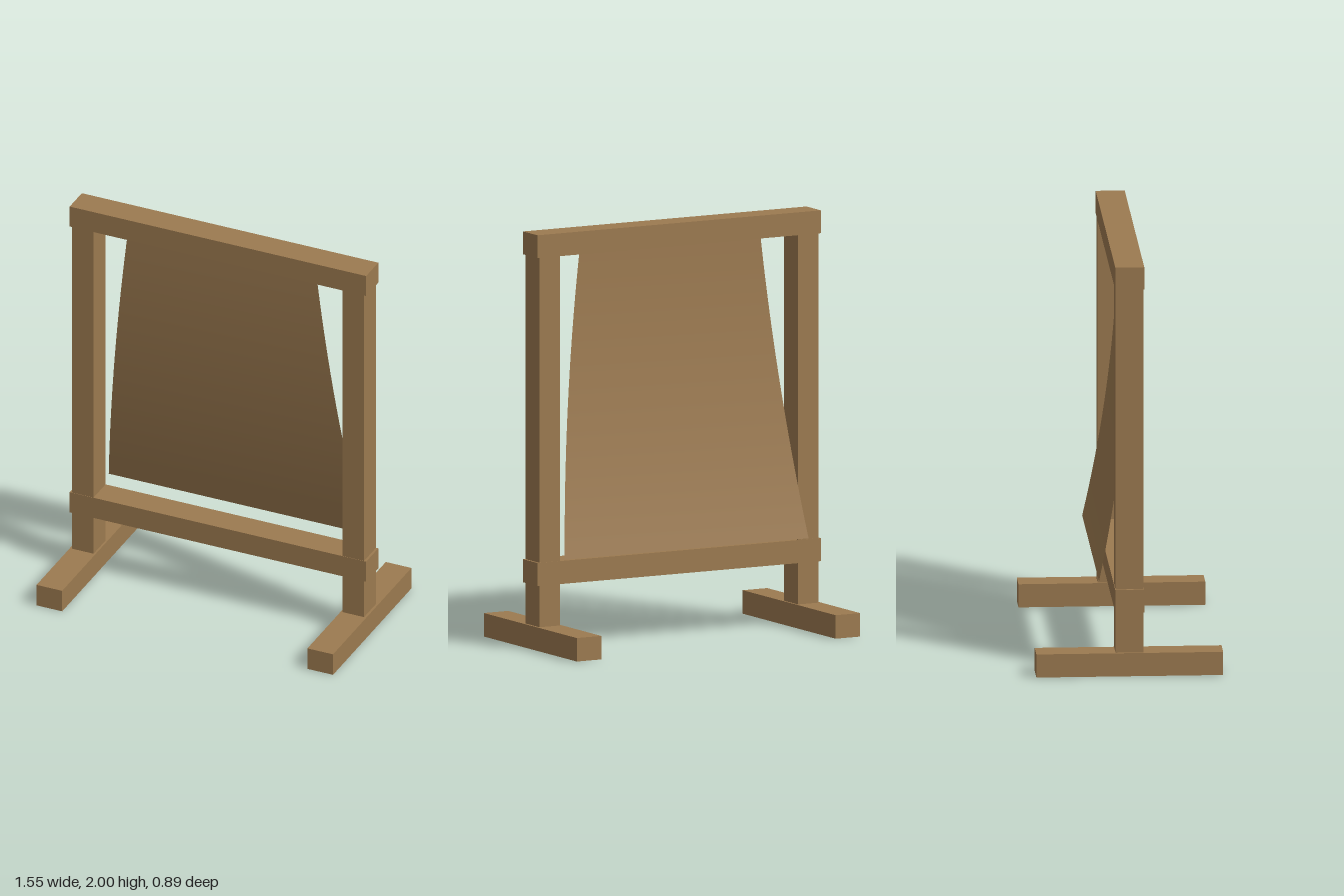
import * as THREE from 'three';

const wood = new THREE.MeshStandardMaterial({ color: 0x9c7a50, side: THREE.DoubleSide });
wood.name = 'wood';

// Box given by its centre x, its y range and its width and depth
function beam(name, x, y0, y1, width, depth) {
  const mesh = new THREE.Mesh(new THREE.BoxGeometry(width, y1 - y0, depth), wood);
  mesh.position.set(x, (y0 + y1) / 2, 0);
  mesh.name = name;
  return mesh;
}

// Thin sheet that widens downwards and curves towards the back
function hangingSheet() {
  const top = 1.895, bottom = 0.44;
  const geometry = new THREE.PlaneGeometry(2, 1, 1, 20);
  const p = geometry.attributes.position;
  for (let i = 0; i < p.count; i++) {
    const t = 0.5 - p.getY(i);
    const halfWidth = THREE.MathUtils.lerp(0.495, 0.668, t);
    p.setXYZ(i, p.getX(i) * halfWidth, THREE.MathUtils.lerp(top, bottom, t), 0.02 - 0.16 * t * t);
  }
  geometry.computeVertexNormals();
  const mesh = new THREE.Mesh(geometry, wood);
  mesh.name = 'hangingSheet';
  return mesh;
}

export function createModel() {
  const model = new THREE.Group();
  model.name = 'standingFrame';

  // Feet and uprights
  for (const [side, s] of [['left', 1], ['right', -1]]) {
    model.add(beam(side + 'Foot', s * 0.709, 0, 0.113, 0.134, 0.89));
    model.add(beam(side + 'Post', s * 0.708, 0.113, 1.9, 0.112, 0.134));
  }

  // Cross rails, slightly wider than the uprights
  model.add(beam('topRail', 0, 1.89, 2, 1.552, 0.138));
  model.add(beam('lowerRail', 0, 0.312, 0.423, 1.552, 0.138));

  model.add(hangingSheet());
  return model;
}
